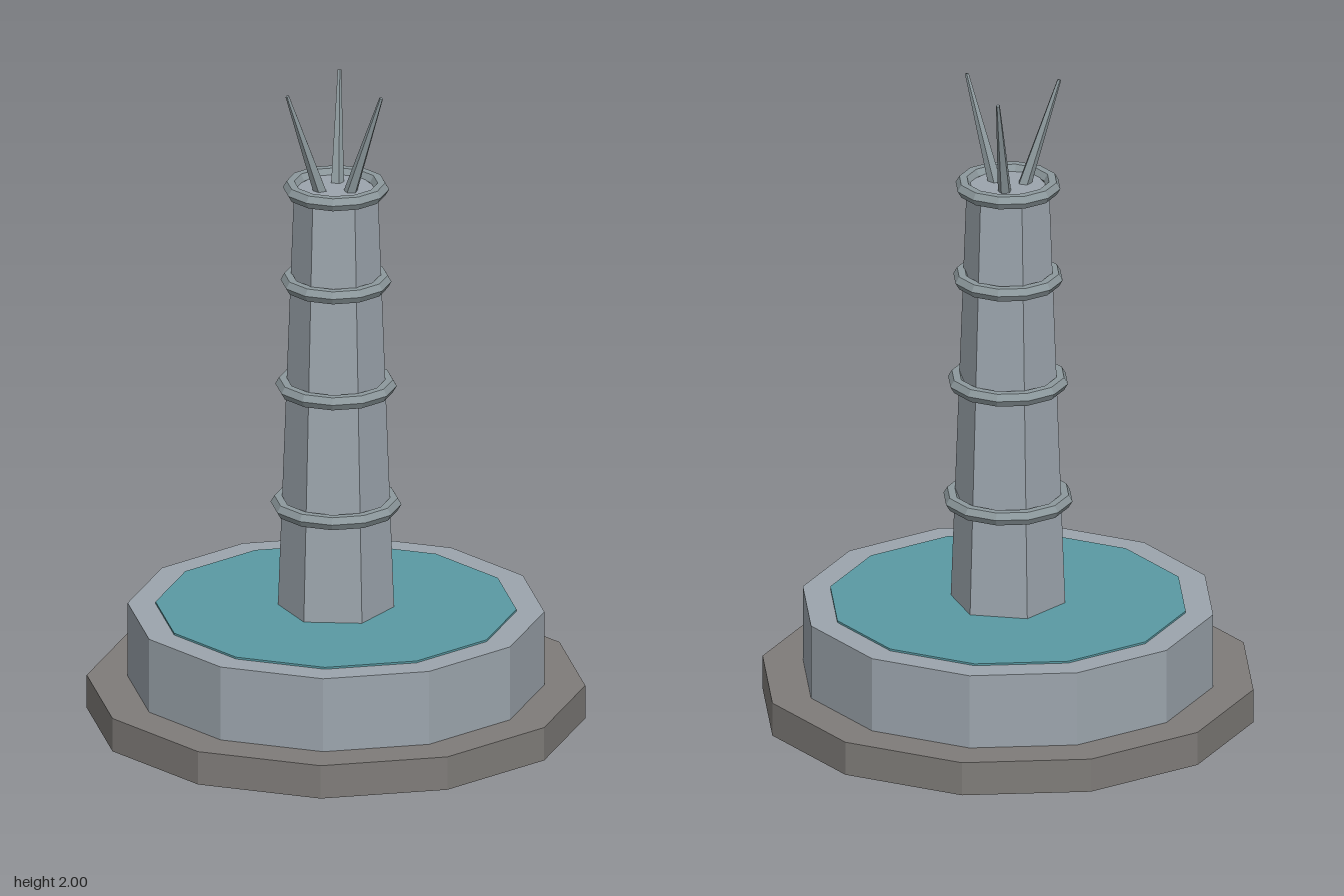
import * as THREE from 'three';

export function createModel() {
  const model = new THREE.Group();
  model.name = 'fountainTower';

  const makeMaterial = (name, color) => {
    const material = new THREE.MeshStandardMaterial({ color, flatShading: true });
    material.name = name;
    return material;
  };
  const plinthStone = makeMaterial('plinth stone', 0x7f7c79);
  const paleStone = makeMaterial('pale stone', 0x9ca5ad);
  const water = makeMaterial('water', 0x5a9aa3);
  const metal = makeMaterial('metal', 0x8d999d);

  const add = (name, geometry, material, parent = model) => {
    const mesh = new THREE.Mesh(geometry, material);
    mesh.name = name;
    parent.add(mesh);
    return mesh;
  };

  // Upright prism or taper between two heights
  const drum = (name, rTop, rBottom, y0, y1, sides, material) => {
    const geometry = new THREE.CylinderGeometry(rTop, rBottom, y1 - y0, sides);
    add(name, geometry, material).position.y = (y0 + y1) / 2;
  };

  // Stepped twelve-sided base with a pool on top
  drum('plinth', 0.75, 0.75, 0, 0.105, 12, plinthStone);
  drum('basin', 0.627, 0.627, 0.105, 0.338, 12, paleStone);
  drum('poolWater', 0.543, 0.543, 0.336, 0.344, 12, water);

  // Tapered six-sided column
  drum('column', 0.126, 0.175, 0.338, 1.68, 6, paleStone);

  // Bands around the column: [height, outer radius]
  const tube = 0.023;
  for (const [y, outer] of [[0.672, 0.197], [1.05, 0.183], [1.383, 0.167], [1.678, 0.16]]) {
    const band = add('columnBand', new THREE.TorusGeometry(outer - tube, tube, 6, 12), metal);
    band.rotation.x = Math.PI / 2;
    band.position.y = y;
  }

  // Three spikes leaning outwards from the column top
  const base = new THREE.Vector3(0.052, 1.675, 0);
  const tip = new THREE.Vector3(0.163, 1.998, 0);
  const axis = tip.clone().sub(base);
  for (let i = 0; i < 3; i++) {
    const pivot = new THREE.Group();
    pivot.name = 'spikePivot';
    pivot.rotation.y = (i * Math.PI * 2) / 3;
    model.add(pivot);
    const spike = add('spike', new THREE.CylinderGeometry(0.006, 0.021, axis.length(), 5), metal, pivot);
    spike.position.copy(base).add(tip).multiplyScalar(0.5);
    spike.rotation.z = -Math.atan2(axis.x, axis.y);
  }

  return model;
}
